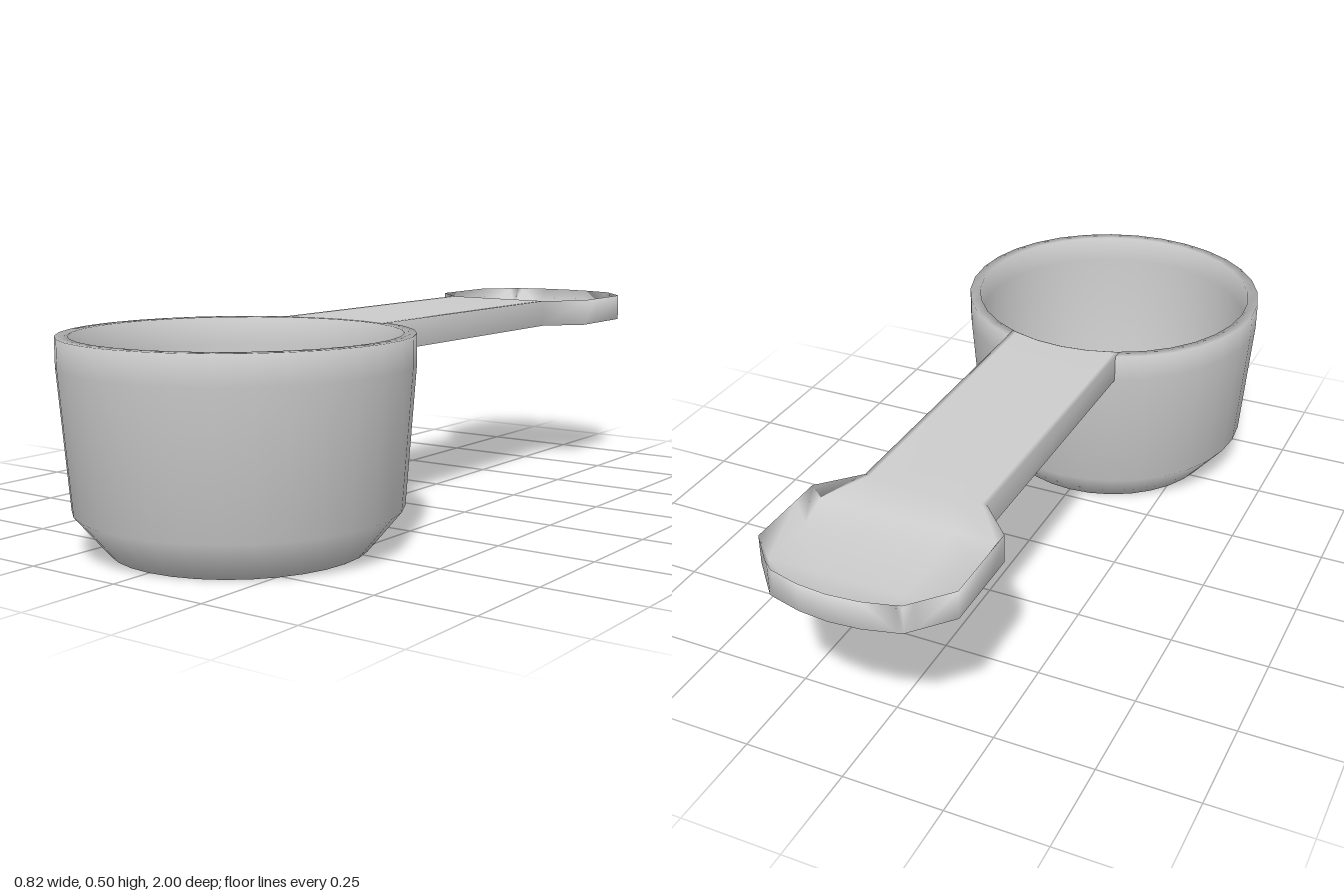
import * as THREE from 'three';

const material = new THREE.MeshStandardMaterial({ color: 0xcccccc });

// Turned cup with a chamfered foot and a thin wall
function makeCup() {
  const profile = [
    [0, 0], [0.305, 0], [0.386, 0.097], [0.412, 0.43], [0.412, 0.5],
    [0.383, 0.5], [0.378, 0.43], [0.36, 0.1], [0.31, 0.025], [0, 0.025],
  ].map(([r, y]) => new THREE.Vector2(r, y));
  const cup = new THREE.Mesh(new THREE.LatheGeometry(profile, 32), material);
  cup.name = 'cup';
  cup.position.z = 0.588;
  return cup;
}

// Flat handle lofted towards -z, ending in a paddle with a shallow thumb hollow
function makeHandle() {
  const RIM = 0.5, UNDER = 0.43, HOLLOW = 0.445;
  // z, half width, bulge of the middle along z, height of the top inside the rim
  const stations = [
    [0.235, 0.155, -0.033, RIM],
    [-0.57, 0.155, 0, RIM],
    [-0.66, 0.24, 0, 0.472],
    [-0.73, 0.24, 0, HOLLOW],
    [-0.88, 0.24, 0, HOLLOW],
    [-0.95, 0.178, -0.03, HOLLOW],
    [-0.97, 0.16, -0.03, RIM],
  ];
  const across = [-1, -0.92, -0.46, 0, 0.46, 0.92, 1];
  const m = across.length, n = m * 2;
  const positions = [];
  const index = [];

  for (const [z, w, bulge, top] of stations) {
    const add = (f, y) => positions.push(f * w, y, z + bulge * (1 - f * f));
    across.forEach((f) => add(f, Math.abs(f) === 1 ? RIM + 0.001 : top + 0.001));
    [...across].reverse().forEach((f) => add(f, UNDER));
  }
  for (let i = 0; i < stations.length - 1; i++) {
    for (let j = 0; j < n; j++) {
      const a = i * n + j, b = i * n + ((j + 1) % n);
      index.push(a, b, a + n, b, b + n, a + n);
    }
  }
  // End wall of the paddle
  const last = (stations.length - 1) * n;
  for (let k = 0; k < m - 1; k++) {
    const t = last + k, b = last + n - 1 - k;
    index.push(t, t + 1, b, t + 1, b - 1, b);
  }

  const geometry = new THREE.BufferGeometry();
  geometry.setAttribute('position', new THREE.Float32BufferAttribute(positions, 3));
  geometry.setIndex(index);
  geometry.computeVertexNormals();
  const handle = new THREE.Mesh(geometry, material);
  handle.name = 'handle';
  return handle;
}

export function createModel() {
  const scoop = new THREE.Group();
  scoop.name = 'measuringScoop';
  scoop.add(makeCup(), makeHandle());
  return scoop;
}
